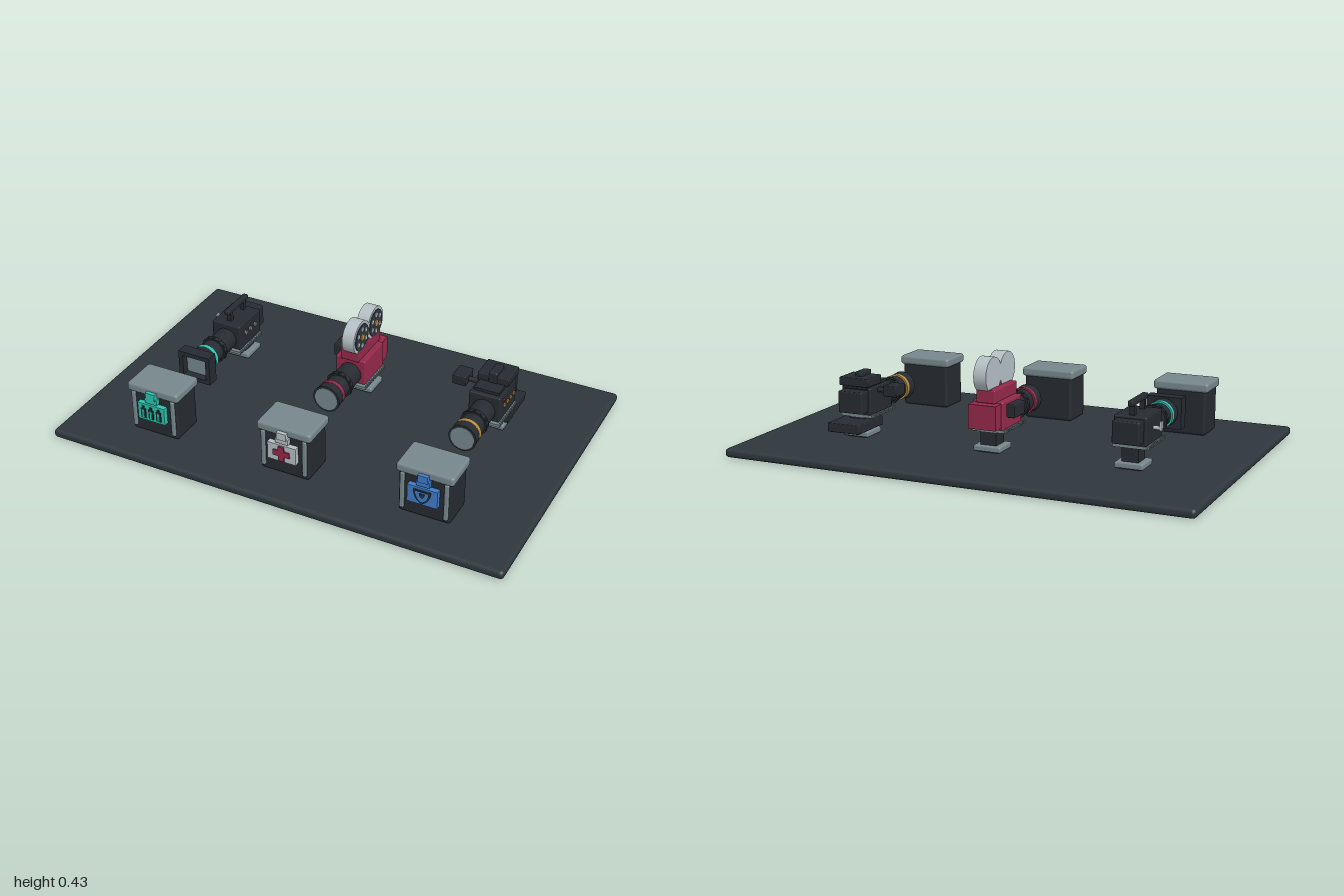
import * as THREE from 'three';
import { RoundedBoxGeometry } from 'three/addons/geometries/RoundedBoxGeometry.js';

const mat = (name, color) => {
  const m = new THREE.MeshStandardMaterial({ color });
  m.name = name;
  return m;
};

export function createModel() {
  const slate = mat('slate', 0x2e373d);
  const black = mat('charcoal', 0x262b31);
  const steel = mat('steel', 0x75868b);
  const silver = mat('silver', 0xb4bfc4);
  const red = mat('crimson', 0x93284a);
  const teal = mat('teal', 0x2cc4ae);
  const gold = mat('gold', 0xb58a42);
  const blue = mat('blue', 0x3f7cc8);

  const root = new THREE.Group();
  root.name = 'cameraDisplay';

  const add = (parent, name, geo, m, x, y, z) => {
    const mesh = new THREE.Mesh(geo, m);
    mesh.name = name;
    mesh.position.set(x, y, z);
    parent.add(mesh);
    return mesh;
  };
  // box given by its ranges along each axis
  const box = (p, name, m, x0, x1, y0, y1, z0, z1, r = 0) => {
    const s = [x1 - x0, y1 - y0, z1 - z0];
    const geo = r ? new RoundedBoxGeometry(...s, 2, r) : new THREE.BoxGeometry(...s);
    return add(p, name, geo, m, (x0 + x1) / 2, (y0 + y1) / 2, (z0 + z1) / 2);
  };
  // cylinder along z or x
  const cylZ = (p, name, m, r, z0, z1, x = 0, y = 0.178, rBack = r) =>
    add(p, name, new THREE.CylinderGeometry(r, rBack, z1 - z0, 28).rotateX(Math.PI / 2), m, x, y, (z0 + z1) / 2);
  const cylX = (p, name, m, r, x0, x1, y, z, n = 32) =>
    add(p, name, new THREE.CylinderGeometry(r, r, x1 - x0, n).rotateZ(-Math.PI / 2), m, (x0 + x1) / 2, y, z);
  const group = (name, x) => {
    const g = new THREE.Group();
    g.name = name;
    g.position.x = x;
    root.add(g);
    return g;
  };

  // display board
  box(root, 'board', slate, -1, 1, 0, 0.038, -0.66, 0.66, 0.016);

  // supply case: body, lid, corner rails, latch and badge plate
  const supplyCase = (x, badge, latch) => {
    const g = group('supplyCase', x);
    box(g, 'caseBody', black, -0.11, 0.11, 0.036, 0.235, 0.34, 0.49, 0.014);
    box(g, 'caseLid', steel, -0.12, 0.12, 0.222, 0.262, 0.332, 0.498, 0.012);
    for (const s of [-1, 1])
      box(g, 'cornerRail', steel, s * 0.092 - 0.009, s * 0.092 + 0.009, 0.058, 0.224, 0.484, 0.5, 0.005);
    box(g, 'latchPlate', latch, -0.021, 0.021, 0.215, 0.247, 0.49, 0.514);
    box(g, 'latchHook', latch, -0.028, 0.028, 0.196, 0.22, 0.49, 0.51);
    box(g, 'badge', badge, -0.063, 0.063, 0.112, 0.19, 0.486, 0.512);
    return g;
  };

  // film cell badge
  const c1 = supplyCase(-0.605, teal, teal);
  for (const i of [-1, 0, 1]) {
    box(c1, 'cellSlot', black, i * 0.036 - 0.012, i * 0.036 + 0.012, 0.122, 0.168, 0.51, 0.515);
    box(c1, 'cellCap', black, i * 0.036 - 0.006, i * 0.036 + 0.006, 0.168, 0.18, 0.51, 0.515);
    box(c1, 'cellBar', teal, i * 0.036 - 0.004, i * 0.036 + 0.004, 0.126, 0.163, 0.512, 0.517);
  }
  // cross badge
  const c2 = supplyCase(0, silver, silver);
  box(c2, 'crossUpright', red, -0.013, 0.013, 0.117, 0.185, 0.511, 0.519);
  box(c2, 'crossBar', red, -0.037, 0.037, 0.139, 0.164, 0.511, 0.518);
  // shield badge
  const c3 = supplyCase(0.605, blue, blue);
  const shield = (k) => {
    const s = new THREE.Shape();
    s.moveTo(-0.036 * k, 0.028 * k);
    s.lineTo(0.036 * k, 0.028 * k);
    s.quadraticCurveTo(0.036 * k, -0.016 * k, 0, -0.034 * k);
    s.quadraticCurveTo(-0.036 * k, -0.016 * k, -0.036 * k, 0.028 * k);
    return s;
  };
  const outline = shield(1);
  outline.holes.push(shield(0.76));
  const flat = { depth: 0.006, bevelEnabled: false };
  add(c3, 'shieldOutline', new THREE.ExtrudeGeometry(outline, flat), slate, 0, 0.152, 0.511);
  add(c3, 'shieldCore', new THREE.ExtrudeGeometry(shield(0.3), flat), slate, 0, 0.155, 0.511);

  // shared camera: body, lens, toothed mounting rail and foot
  const camera = (name, x, bodyMat, accent) => {
    const g = group(name, x);
    box(g, 'cameraBody', bodyMat, -0.068, 0.068, 0.134, 0.25, -0.27, -0.09, 0.006);
    box(g, 'rearPack', black, -0.056, 0.056, 0.148, 0.24, -0.322, -0.265, 0.005);
    cylZ(g, 'lensBarrel', black, 0.05, -0.095, 0.005);
    cylZ(g, 'focusRing', black, 0.057, -0.003, 0.018);
    cylZ(g, 'frontBarrel', black, 0.05, 0.015, 0.072);
    cylZ(g, 'accentRing', accent, 0.057, 0.07, 0.089);
    cylZ(g, 'lensHood', black, 0.06, 0.089, 0.13, 0, 0.178, 0.056);
    cylZ(g, 'lensGlass', steel, 0.051, 0.125, 0.132);
    for (let i = 0; i < 12; i++) {
      const a = (i / 12) * Math.PI * 2;
      const grip = box(g, 'focusGrip', black, -0.005, 0.005, -0.003, 0.003, 0, 0.014);
      grip.position.set(Math.cos(a) * 0.057, 0.178 + Math.sin(a) * 0.057, 0.007);
      grip.rotation.z = a + Math.PI / 2;
    }
    box(g, 'mountRail', steel, -0.071, 0.071, 0.123, 0.135, -0.27, -0.075);
    for (const s of [-1, 1])
      for (let i = 0; i < 13; i++) {
        const z = -0.265 + i * 0.0152;
        box(g, 'railTooth', steel, s * 0.074 - 0.005, s * 0.074 + 0.005, 0.124, 0.136, z, z + 0.008);
      }
    box(g, 'mountNeck', black, -0.035, 0.035, 0.062, 0.125, -0.265, -0.19);
    for (const y of [0.085, 0.112]) cylZ(g, 'neckScrew', steel, 0.006, -0.192, -0.175, 0, y);
    box(g, 'mountFoot', steel, -0.06, 0.06, 0.042, 0.067, -0.283, -0.17, 0.007);
    box(g, 'footPad', black, -0.045, 0.045, 0.034, 0.044, -0.27, -0.185);
    return g;
  };

  // camera with matte box, carry handle and crank
  const a = camera('matteBoxCamera', -0.605, black, teal);
  const frame = new THREE.Shape();
  frame.moveTo(-0.075, -0.066).lineTo(0.075, -0.066).lineTo(0.075, 0.066).lineTo(-0.075, 0.066).closePath();
  const opening = new THREE.Path();
  opening.moveTo(-0.055, -0.047).lineTo(-0.055, 0.047).lineTo(0.055, 0.047).lineTo(0.055, -0.047).closePath();
  frame.holes.push(opening);
  add(a, 'matteBox', new THREE.ExtrudeGeometry(frame, { depth: 0.052, bevelEnabled: false }), black, 0, 0.177, 0.124);
  box(a, 'matteBack', black, -0.07, 0.07, 0.116, 0.238, 0.124, 0.135);
  box(a, 'matteGlass', steel, -0.056, 0.056, 0.13, 0.225, 0.135, 0.143);
  box(a, 'handleBar', black, -0.012, 0.012, 0.288, 0.31, -0.27, -0.1, 0.005);
  for (const z of [-0.24, -0.13]) box(a, 'handlePost', black, -0.01, 0.01, 0.245, 0.295, z - 0.01, z + 0.01);
  cylX(a, 'crankShaft', silver, 0.008, -0.1, -0.066, 0.195, -0.19, 12);
  box(a, 'crankArm', silver, -0.104, -0.094, 0.185, 0.222, -0.198, -0.182);
  for (const z of [-0.22, -0.18, -0.14]) cylX(a, 'sideKnob', steel, 0.01, 0.066, 0.075, 0.2, z, 12);

  // film camera with twin reels
  const b = camera('reelCamera', 0, red, red);
  box(b, 'reelMount', red, -0.042, 0.042, 0.245, 0.3, -0.29, -0.08, 0.005);
  box(b, 'reelBracket', red, -0.012, 0.035, 0.29, 0.316, -0.29, -0.09);
  box(b, 'rearCover', red, -0.06, 0.06, 0.144, 0.244, -0.325, -0.26);
  box(b, 'sideFinder', black, -0.118, -0.082, 0.19, 0.245, -0.27, -0.17, 0.004);
  cylX(b, 'finderArm', black, 0.012, -0.085, -0.06, 0.215, -0.21, 12);
  for (const z of [-0.113, -0.244]) {
    const reel = new THREE.Group();
    reel.name = 'filmReel';
    reel.position.set(0, 0.353, z);
    b.add(reel);
    cylX(reel, 'reelDrum', silver, 0.073, -0.015, 0.04, 0, 0, 40);
    cylX(reel, 'reelFace', slate, 0.06, 0.038, 0.043, 0, 0, 40);
    cylX(reel, 'reelHub', gold, 0.015, 0.04, 0.048, 0, 0, 16);
    for (let i = 0; i < 6; i++) {
      const t = (i / 6) * Math.PI * 2 + Math.PI / 6;
      cylX(reel, 'reelSpot', silver, 0.011, 0.04, 0.046, Math.sin(t) * 0.039, Math.cos(t) * 0.039, 16);
    }
  }

  // broadcast camera with top module, side finder and under-slung pack
  const c = camera('broadcastCamera', 0.605, black, gold);
  box(c, 'topModule', black, -0.068, 0.068, 0.256, 0.292, -0.29, -0.175, 0.004);
  box(c, 'topBase', black, -0.055, 0.055, 0.245, 0.262, -0.28, -0.11);
  box(c, 'topGrip', black, -0.018, 0.018, 0.26, 0.31, -0.25, -0.17, 0.005);
  box(c, 'sideFinder', black, -0.172, -0.112, 0.215, 0.26, -0.242, -0.16, 0.004);
  cylX(c, 'finderArm', black, 0.011, -0.115, -0.06, 0.232, -0.2, 12);
  box(c, 'underPack', black, -0.074, 0.074, 0.078, 0.116, -0.382, -0.18, 0.004);
  for (const z of [-0.14, -0.172, -0.204, -0.237])
    box(c, 'sideButton', gold, 0.066, 0.076, 0.188, 0.2, z - 0.006, z + 0.006);
  box(c, 'recordLight', red, 0.066, 0.076, 0.222, 0.23, -0.134, -0.12);

  return root;
}
